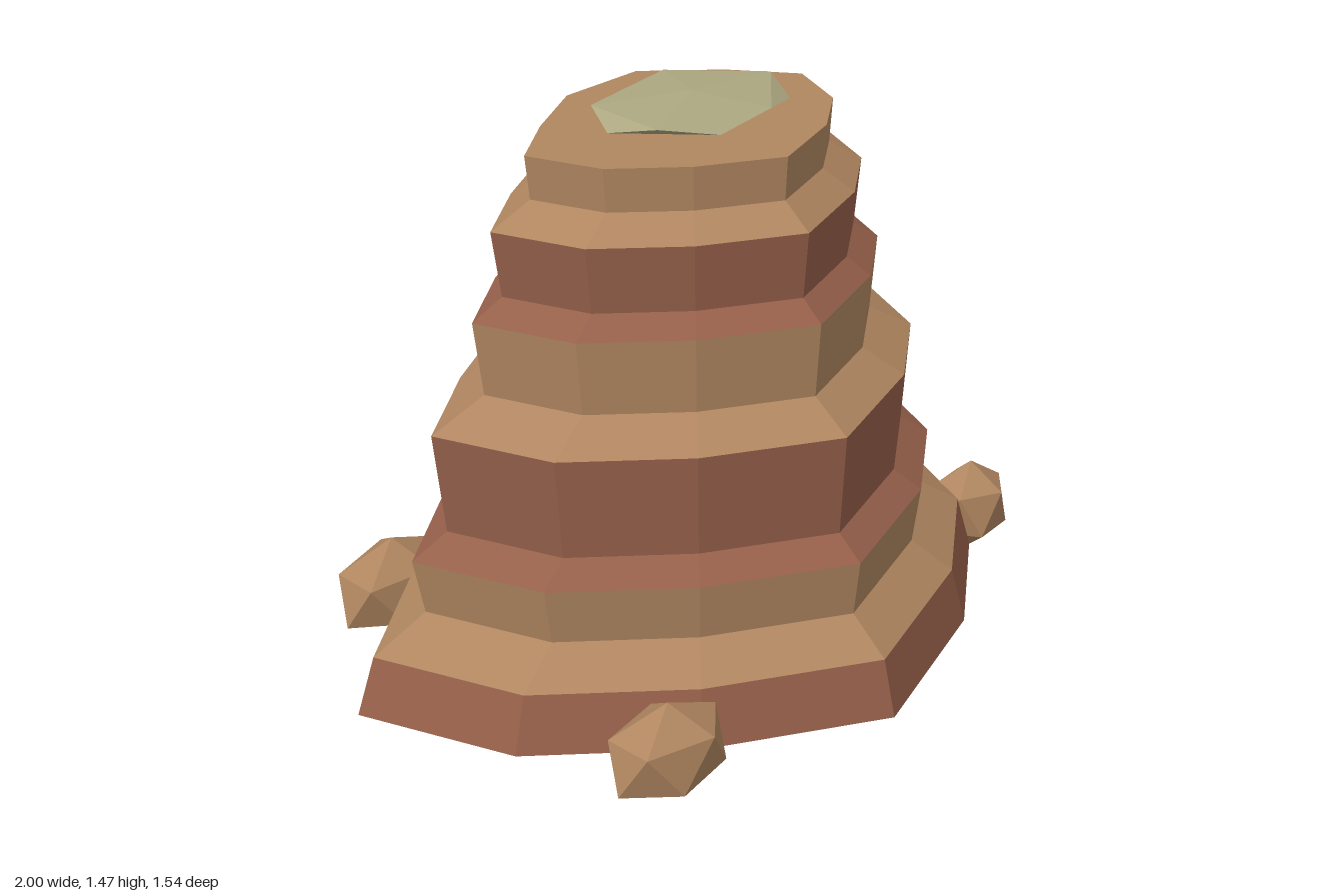
import * as THREE from 'three';

const material = (name, color) => {
  const m = new THREE.MeshStandardMaterial({ color });
  m.name = name;
  return m;
};

// Irregular footprint [x, z]; every ring is a scaled copy of it
const FOOTPRINT = [
  [1, -0.035], [0.77, 0.36], [0.39, 0.61], [-0.14, 0.77], [-0.57, 0.5], [-0.89, 0.17],
  [-1, -0.27], [-0.6, -0.53], [-0.13, -0.77], [0.44, -0.77], [0.78, -0.41],
];

const ring = ([y, s]) =>
  FOOTPRINT.map(([x, z]) => new THREE.Vector3(x * s, y, z * s - 0.013 * y));

function flatGeometry(points) {
  const g = new THREE.BufferGeometry().setFromPoints(points);
  g.computeVertexNormals();
  return g;
}

// Faceted band through several rings, listed from bottom to top
function band(levels) {
  const pts = [];
  for (let k = 0; k < levels.length - 1; k++) {
    const low = ring(levels[k]), high = ring(levels[k + 1]);
    low.forEach((a, i) => {
      const j = (i + 1) % low.length;
      pts.push(a, high[i], high[j], a, high[j], low[j]);
    });
  }
  return flatGeometry(pts);
}

// Flat lid over one ring
function lid(level, up) {
  const r = ring(level), pts = [];
  const centre = new THREE.Vector3(0, level[0], -0.013 * level[0]);
  r.forEach((a, i) => {
    const b = r[(i + 1) % r.length];
    pts.push(centre, up ? b : a, up ? a : b);
  });
  return flatGeometry(pts);
}

// Twenty-sided lump standing on one corner
function lump(name, mat, [x, y, z], [rx, ry, rz], turn, skew = 0) {
  const g = new THREE.IcosahedronGeometry(1, 0);
  g.rotateX(-Math.atan((1 + Math.sqrt(5)) / 2));
  g.rotateY(turn);
  g.scale(rx, ry, rz);
  g.rotateY(skew);
  const mesh = new THREE.Mesh(g, mat);
  mesh.name = name;
  mesh.position.set(x, y, z);
  return mesh;
}

export function createModel() {
  const red = material('red rock', 0x96604a);
  const tan = material('tan rock', 0xb08660);
  const green = material('dry grass', 0xaca781);

  const model = new THREE.Group();
  model.name = 'layeredMesa';
  const add = (name, geometry, mat) => {
    const mesh = new THREE.Mesh(geometry, mat);
    mesh.name = name;
    model.add(mesh);
  };

  // Rock strata: each has a sloping ledge and a wall flaring slightly upward
  const strata = [
    ['baseLayer', red, [[0.055, 1], [0.203, 0.95]]],
    ['secondLayer', tan, [[0.203, 0.95], [0.285, 0.8], [0.435, 0.83]]],
    ['thirdLayer', red, [[0.435, 0.83], [0.49, 0.73], [0.76, 0.76]]],
    ['fourthLayer', tan, [[0.76, 0.76], [0.832, 0.61], [1.03, 0.635]]],
    ['fifthLayer', red, [[1.03, 0.635], [1.08, 0.55], [1.255, 0.575]]],
    ['topLayer', tan, [[1.255, 0.575], [1.315, 0.463], [1.43, 0.475]]],
  ];
  for (const [name, mat, levels] of strata) add(name, band(levels), mat);
  add('underside', lid([0.055, 1], false), red);
  add('summit', lid([1.43, 0.475], true), tan);

  // Grass patch on the summit
  model.add(lump('grassPatch', green, [0.075, 1.444, -0.08], [0.33, 0.031, 0.245], 0.2));

  // Fallen boulders around the foot
  model.add(lump('frontLeftBoulder', tan, [0.842, 0.137, 0.305], [0.128, 0.133, 0.112], 0.1));
  model.add(lump('frontRightBoulder', tan, [-0.725, 0.135, 0.52], [0.193, 0.13, 0.13], 0.25));
  model.add(lump('backRightBoulder', tan, [-0.545, 0.137, -0.605], [0.215, 0.132, 0.13], 0.1, 0.22));
  return model;
}
